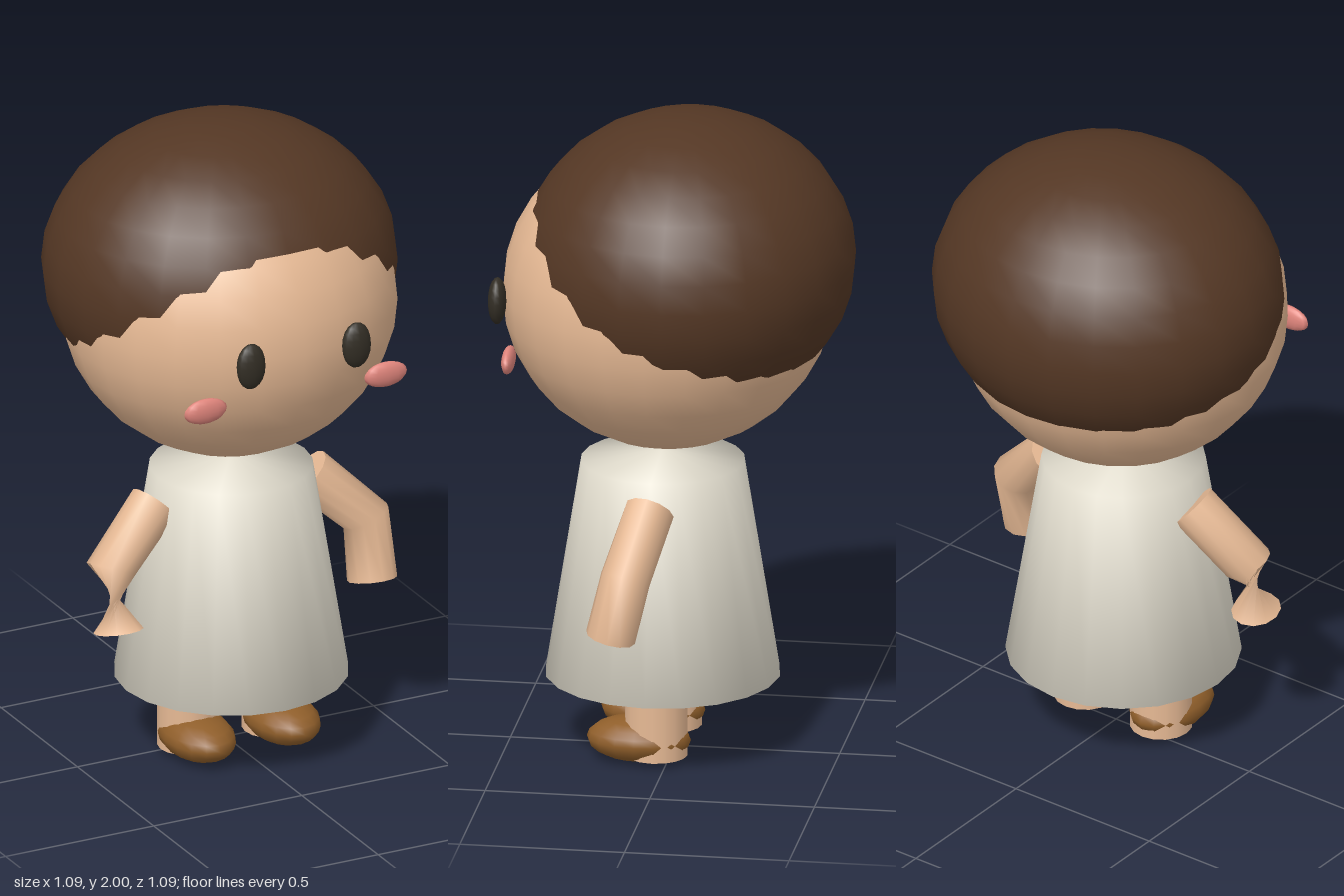
import * as THREE from 'three';

const mat = (name, color) => {
  const m = new THREE.MeshStandardMaterial({ color });
  m.name = name;
  return m;
};

// Ellipsoid from centre and radii
function ellipsoid(name, material, [x, y, z], [rx, ry, rz], w = 24, h = 16) {
  const geo = new THREE.SphereGeometry(1, w, h).scale(rx, ry, rz);
  const mesh = new THREE.Mesh(geo, material);
  mesh.name = name;
  mesh.position.set(x, y, z);
  return mesh;
}

// Capped tube with one ring per point; the last ring may be turned by endTwist
function limb(points, radius, sides, endTwist) {
  const pts = points.map(p => new THREE.Vector3(...p));
  const last = pts.length - 1;
  const pos = [], index = [];
  const rings = pts.map((p, i) => {
    const d = new THREE.Vector3();
    if (i > 0) d.add(p.clone().sub(pts[i - 1]).normalize());
    if (i < last) d.add(pts[i + 1].clone().sub(p).normalize());
    d.normalize();
    const u = new THREE.Vector3().crossVectors(d, new THREE.Vector3(0, 0, 1)).normalize();
    const v = new THREE.Vector3().crossVectors(d, u);
    return Array.from({ length: sides }, (_, j) => {
      const a = (j / sides) * Math.PI * 2 + (i === last ? endTwist : 0);
      return p.clone().addScaledVector(u, radius * Math.cos(a)).addScaledVector(v, radius * Math.sin(a));
    });
  });
  rings.forEach(ring => ring.forEach(q => pos.push(q.x, q.y, q.z)));
  for (let i = 0; i < last; i++) {
    for (let j = 0; j < sides; j++) {
      const k = (j + 1) % sides;
      const a = i * sides + j, b = i * sides + k, c = a + sides, e = b + sides;
      index.push(a, b, c, b, e, c);
    }
  }
  // Flat end caps with their own vertices
  for (const i of [0, last]) {
    const base = pos.length / 3;
    pos.push(pts[i].x, pts[i].y, pts[i].z);
    rings[i].forEach(q => pos.push(q.x, q.y, q.z));
    for (let j = 0; j < sides; j++) {
      const a = base + 1 + j, b = base + 1 + ((j + 1) % sides);
      if (i === 0) index.push(base, b, a);
      else index.push(base, a, b);
    }
  }
  const geo = new THREE.BufferGeometry();
  geo.setAttribute('position', new THREE.Float32BufferAttribute(pos, 3));
  geo.setIndex(index);
  geo.computeVertexNormals();
  return geo;
}

export function createModel() {
  const model = new THREE.Group();
  model.name = 'childFigure';

  const skin = mat('skin', 0xe6b994);
  const hairBrown = mat('hairBrown', 0x543724);
  const cloth = mat('creamCloth', 0xe4dfd0);
  const leather = mat('shoeBrown', 0x8f5e2a);
  const dark = mat('eyeDark', 0x332e25);
  const blush = mat('blushPink', 0xe0857c);

  // Head and the hair cap that cuts through it
  model.add(ellipsoid('head', skin, [0, 1.45, 0.02], [0.51, 0.48, 0.5]));
  model.add(ellipsoid('hair', hairBrown, [0, 1.55, -0.04], [0.545, 0.45, 0.505]));

  // Dress: flared, with a shallow cone on top and a closed hem
  const profile = [[0, 0.235], [0.355, 0.235], [0.247, 0.91], [0, 0.945]]
    .map(([x, y]) => new THREE.Vector2(x, y));
  const dress = new THREE.Mesh(new THREE.LatheGeometry(profile, 20), cloth);
  dress.name = 'dress';
  dress.position.z = 0.037;
  model.add(dress);

  for (const [side, s] of [['left', 1], ['right', -1]]) {
    // Face details
    model.add(ellipsoid(side + 'Eye', dark, [0.178 * s, 1.445, 0.513], [0.048, 0.073, 0.028], 12, 10));
    model.add(ellipsoid(side + 'Cheek', blush, [0.304 * s, 1.303, 0.459], [0.072, 0.04, 0.02], 12, 10));

    // Arm: the right forearm is wrung by half a turn
    const path = [[0.26 * s, 0.83, 0.037], [0.43 * s, 0.668, 0.085], [0.428 * s, 0.482, 0.13]];
    const arm = new THREE.Mesh(limb(path, 0.076, 12, s < 0 ? Math.PI : 0), skin);
    arm.name = side + 'Arm';
    model.add(arm);

    // Leg and shoe
    const leg = new THREE.Mesh(new THREE.CylinderGeometry(0.095, 0.095, 0.3, 16), skin);
    leg.name = side + 'Leg';
    leg.position.set(0.143 * s, 0.17, 0.035);
    model.add(leg);
    model.add(ellipsoid(side + 'Shoe', leather, [0.143 * s, 0.069, 0.088], [0.107, 0.069, 0.158], 16, 10));
  }

  return model;
}
